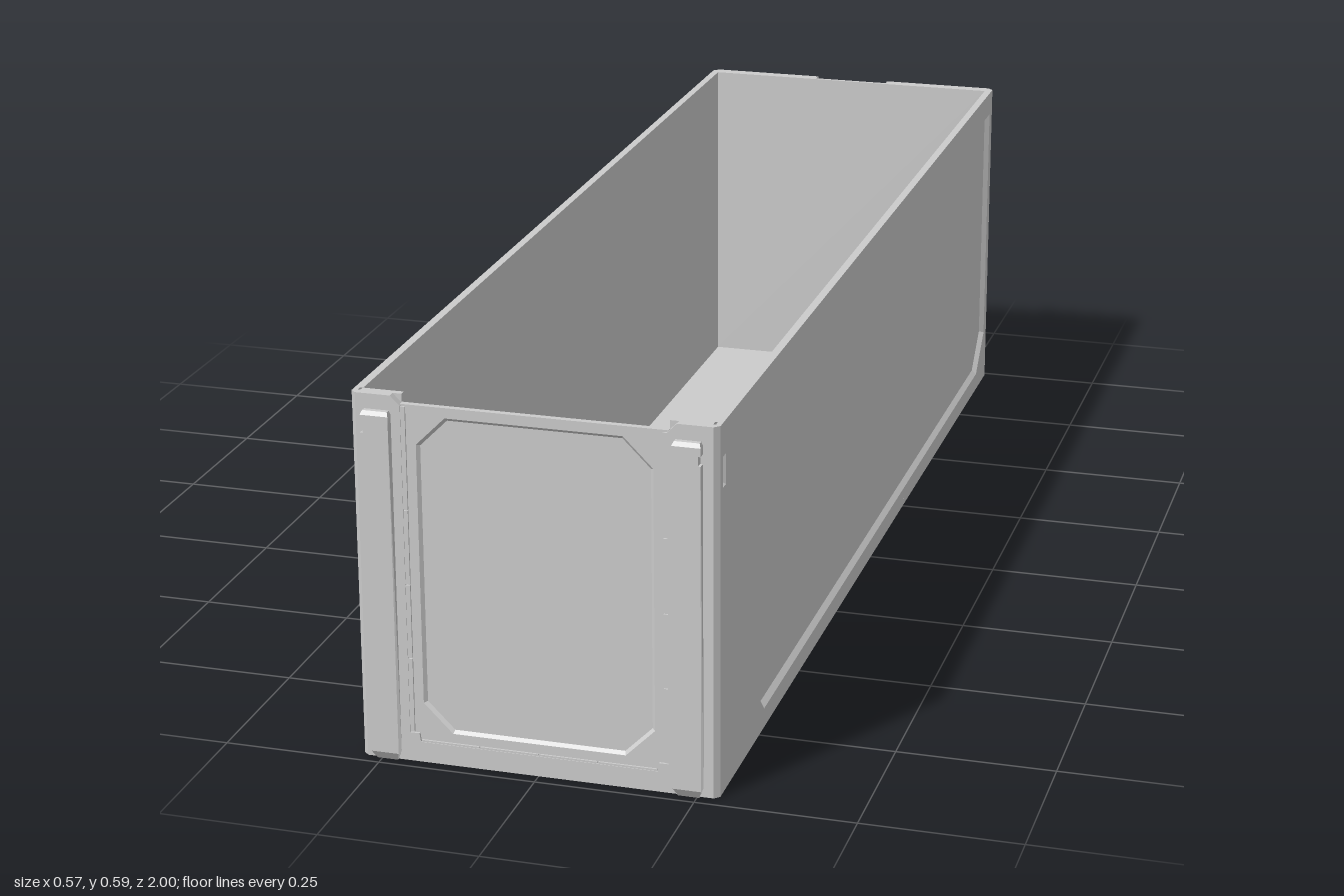
import * as THREE from 'three';
import { mergeGeometries } from 'three/addons/utils/BufferGeometryUtils.js';

const material = new THREE.MeshStandardMaterial({ color: 0xcccccc, flatShading: true, side: THREE.DoubleSide });
const W = 0.283, H = 0.59;

const vec = (pts) => {
  const v = pts.map(([x, y]) => new THREE.Vector2(x, y));
  return THREE.ShapeUtils.isClockWise(v) ? v.reverse() : v;
};

// Shrinks a convex counter-clockwise outline by d
function inset(pts, d) {
  const n = pts.length;
  const normal = (a, b) => new THREE.Vector2(a.y - b.y, b.x - a.x).normalize();
  return pts.map((p, i) => {
    const n1 = normal(pts[(i + n - 1) % n], p), n2 = normal(p, pts[(i + 1) % n]);
    return p.clone().addScaledVector(n1.clone().add(n2), d / (1 + n1.dot(n2)));
  });
}

// Flat sheet facing +z, with bevelled recesses sunk into it
function panelGeometry(outline, recesses = []) {
  const shape = new THREE.Shape(vec(outline));
  const parts = [];
  for (const { pts, bevel, depth } of recesses) {
    const rim = vec(pts), floor = inset(rim, bevel), pos = [];
    shape.holes.push(new THREE.Path(rim));
    rim.forEach((a, i) => {
      const j = (i + 1) % rim.length, b = rim[j], A = floor[i], B = floor[j];
      pos.push(a.x, a.y, 0, b.x, b.y, 0, B.x, B.y, -depth);
      pos.push(a.x, a.y, 0, B.x, B.y, -depth, A.x, A.y, -depth);
    });
    const walls = new THREE.BufferGeometry();
    walls.setAttribute('position', new THREE.Float32BufferAttribute(pos, 3));
    walls.computeVertexNormals();
    parts.push(walls, new THREE.ShapeGeometry(new THREE.Shape(floor)).toNonIndexed().translate(0, 0, -depth));
  }
  parts.push(new THREE.ShapeGeometry(shape).toNonIndexed());
  parts.forEach((g) => g.deleteAttribute('uv'));
  return mergeGeometries(parts);
}

const rect = (x0, x1, y0, y1) => [[x0, y0], [x1, y0], [x1, y1], [x0, y1]];
const mirrored = (half) => [...half, ...half.map(([x, y]) => [-x, y]).reverse()];
const extrude = (pts, depth) => new THREE.ExtrudeGeometry(new THREE.Shape(vec(pts)), { depth, bevelEnabled: false });

export function createModel() {
  const group = new THREE.Group();
  const add = (name, geometry) => {
    const mesh = new THREE.Mesh(geometry, material);
    mesh.name = name;
    group.add(mesh);
    return mesh;
  };
  const box = (name, x0, x1, y0, y1, z0, z1) => add(name, new THREE.BoxGeometry(x1 - x0, y1 - y0, z1 - z0)
    .translate((x0 + x1) / 2, (y0 + y1) / 2, (z0 + z1) / 2));

  // Floor slab with clipped corners
  const footprint = mirrored([[0.275, -0.98], [W, -0.972], [W, 0.99], [0.273, 1]]);
  add('floor', extrude(footprint, 0.012).rotateX(-Math.PI / 2));

  // Top rim, open at the front and notched at the back
  const rim = mirrored([[0.27, -0.958], [0.275, -0.958], [0.275, -0.98], [W, -0.972], [W, 0.99], [0.273, 1],
    [0.07, 1], [0.07, 0.985]]);
  rim.push([-0.27, 0.978], [0.27, 0.978]);
  add('topRim', panelGeometry(rim).rotateX(-Math.PI / 2).translate(0, H, 0));

  // Side walls: outer skin with a sunken panel and a small slot, inner lining, corner bevels
  const sidePanel = [[0.915, 0.49], [0.855, 0.547], [-0.968, 0.547], [-0.968, 0.098], [-0.902, 0.032], [0.72, 0.032], [0.915, 0.23]];
  for (const s of [1, -1]) {
    const flip = (pts) => pts.map(([z, y]) => [-s * z, y]);
    add('sideWall', panelGeometry(flip(rect(-0.99, 0.972, 0, H)), [
      { pts: flip(sidePanel), bevel: 0.008, depth: 0.008 },
      { pts: flip(rect(0.943, 0.96, 0.49, 0.538)), bevel: 0.003, depth: 0.004 },
    ]).rotateY(s * Math.PI / 2).translate(s * W, 0, 0));
    add('sideLining', panelGeometry(rect(-0.978, 0.978, 0.012, H)).rotateY(-s * Math.PI / 2).translate(s * 0.27, 0, 0));
    add('frontCornerBevel', new THREE.PlaneGeometry(0.0114, H).rotateY(s * Math.PI / 4)
      .translate(s * 0.279, H / 2, 0.976));
    add('backCornerBevel', new THREE.PlaneGeometry(0.0142, H).rotateY(s * Math.PI * 0.75)
      .translate(s * 0.278, H / 2, -0.995));
  }

  // Back wall: three bevelled bays below and beside a shallow notch
  const bay = (x0, x1, top) => ({
    pts: [[x0, 0.02], [x1, 0.02], [x1, top], [x0 + 0.04, top], [x0, top - 0.035]],
    bevel: 0.026, depth: 0.02,
  });
  const backOutline = mirrored([[0.273, 0], [0.273, H], [0.07, H], [0.07, 0.41]]);
  add('backWall', panelGeometry(backOutline, [bay(-0.257, -0.082, 0.56), bay(-0.066, 0.066, 0.39), bay(0.082, 0.257, 0.56)])
    .rotateY(Math.PI).translate(0, 0, -1));
  add('backLining', panelGeometry(rect(-0.27, 0.27, 0.012, H)).translate(0, 0, -0.978));
  box('notchPlate', -0.07, 0.07, 0.41, H, -0.985, -0.9785);
  box('notchLedge', -0.07, 0.07, 0.404, 0.41, -0.9995, -0.9785);
  box('notchLatch', -0.03, 0.03, 0.41, 0.422, -0.997, -0.985);
  for (const s of [1, -1]) {
    box('notchJamb', s * 0.074 - 0.004, s * 0.074 + 0.004, 0.404, H - 0.0005, -0.9995, -0.9785);
  }

  // Front frame: two posts joined by a low sill, the posts thicker on the inside
  const frame = mirrored([[0.275, 0], [0.275, H], [0.22, H], [0.205, 0.575], [0.205, 0.047], [0.19, 0.047], [0.188, 0.033]]);
  add('frontFrame', extrude(frame, 0.012).translate(0, 0, 0.968));
  for (const s of [1, -1]) {
    box('innerPost', s * 0.2385 - 0.0325, s * 0.2385 + 0.0325, 0.012, H, 0.958, 0.968);
  }

  // Front door with a sunken eight-sided panel
  const doorPanel = mirrored([[0.137, 0.051], [0.183, 0.097], [0.183, 0.515], [0.137, 0.561]]);
  add('door', panelGeometry(rect(-0.206, 0.206, 0.03, 0.577), [{ pts: doorPanel, bevel: 0.005, depth: 0.005 }])
    .translate(0, 0, 0.976));
  box('doorBack', -0.206, 0.206, 0.012, 0.577, 0.966, 0.97);
  box('doorTop', -0.206, 0.206, 0.564, 0.577, 0.966, 0.9758);

  // Segmented seal strips around the door
  const levels = [0.047, 0.17, 0.29, 0.41, 0.575];
  for (let i = 0; i < 4; i++) {
    for (const s of [1, -1]) {
      box('sideSeal', s * 0.2015 - 0.0035, s * 0.2015 + 0.0035, levels[i] + 0.001, levels[i + 1] - 0.001, 0.972, 0.979);
    }
    const x = -0.188 + i * 0.094;
    box('bottomSeal', x + 0.001, x + 0.093, 0.032, 0.036, 0.972, 0.979);
  }

  // Front rails: sloped and tapered ends, a narrow neck behind, a small nick in the outer edge
  const slice = (name, x0, x1, profile) => {
    const geometry = extrude(profile.map(([y, z]) => [-z, y]), x1 - x0).rotateY(Math.PI / 2).translate(x0, 0, 0);
    const p = geometry.attributes.position, middle = (x0 + x1) / 2;
    for (let i = 0; i < p.count; i++) {
      const taper = p.getY(i) < 0.01 ? 0.75 : p.getY(i) > 0.566 ? 0.88 : 1;
      p.setX(i, middle + (p.getX(i) - middle) * taper);
    }
    add(name, geometry);
  };
  for (const s of [1, -1]) {
    const span = (a, b) => (s > 0 ? [a, b] : [-b, -a]);
    slice('rail', ...span(0.217, 0.261), [[0.003, 0.987], [0.003, 0.99], [0.018, 1], [0.535, 1], [0.535, 0.987], [0.018, 0.987]]);
    slice('railNick', ...span(0.217, 0.257), [[0.535, 0.987], [0.535, 1], [0.55, 1], [0.55, 0.987]]);
    slice('railTop', ...span(0.217, 0.261), [[0.55, 0.987], [0.55, 1], [0.563, 1], [0.569, 0.995], [0.569, 0.987], [0.563, 0.987]]);
    box('railNeck', ...span(0.225, 0.253), 0.006, 0.565, 0.979, 0.988);
  }
  return group;
}
